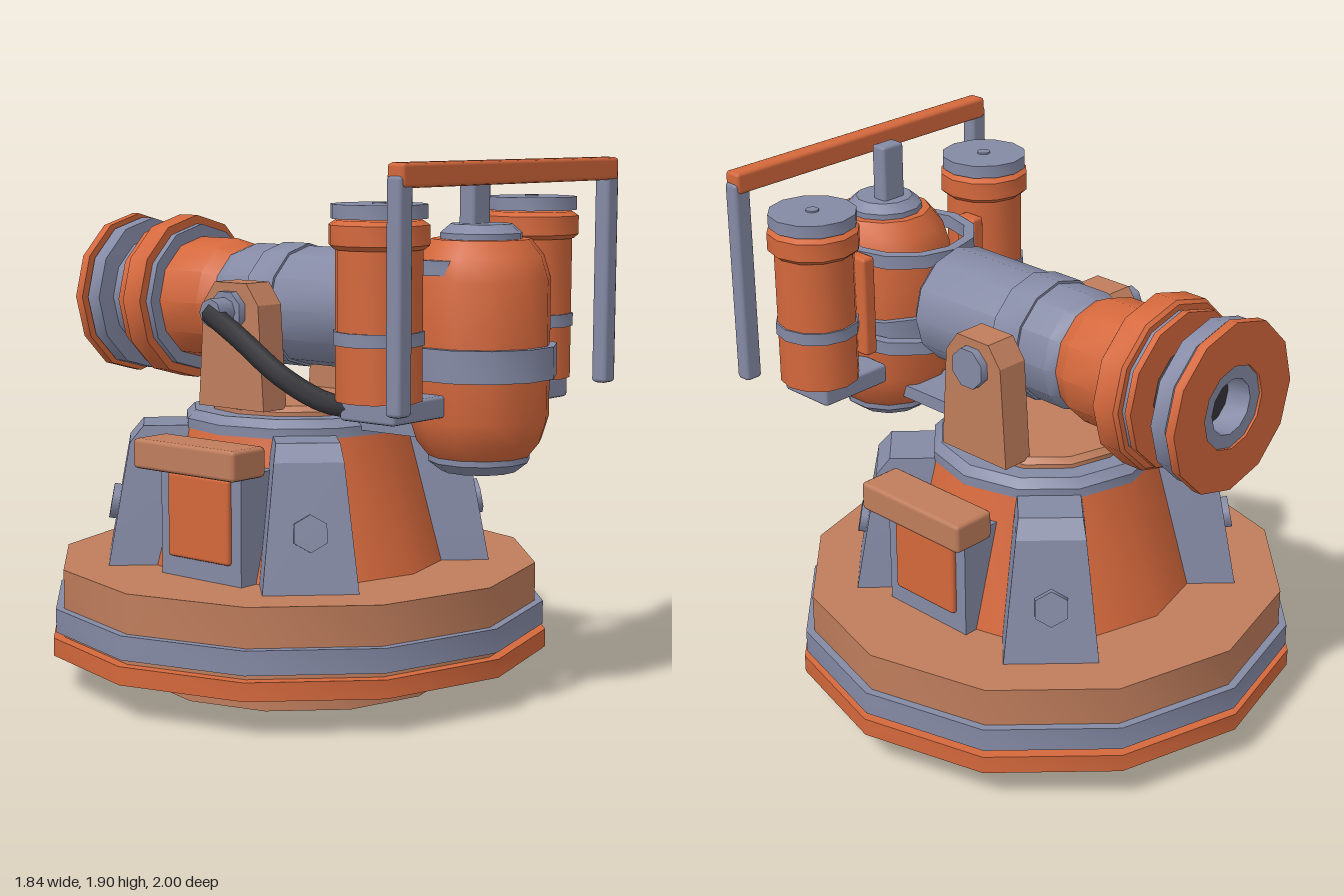
import * as THREE from 'three';
import { toCreasedNormals } from 'three/addons/utils/BufferGeometryUtils.js';
import { RoundedBoxGeometry } from 'three/addons/geometries/RoundedBoxGeometry.js';

const material = (name, color) => {
  const m = new THREE.MeshStandardMaterial({ color });
  m.name = name;
  return m;
};

export function createModel() {
  const orange = material('orange paint', 0xd4683c);
  const tan = material('faded orange paint', 0xbf7d5c);
  const grey = material('blue grey metal', 0x858aa5);
  const dark = material('dark rubber', 0x35353a);
  const model = new THREE.Group();
  model.name = 'mountedCannon';

  const group = (name, x, y, z) => {
    const g = new THREE.Group();
    g.name = name;
    g.position.set(x, y, z);
    model.add(g);
    return g;
  };
  const add = (parent, name, geo, mat) => {
    const m = new THREE.Mesh(geo, mat);
    m.name = name;
    parent.add(m);
    return m;
  };
  // turned part from [radius, height] points
  const turned = (parent, name, points, mat, sides = 12) => {
    const geo = new THREE.LatheGeometry(points.map(p => new THREE.Vector2(...p)), sides);
    return add(parent, name, toCreasedNormals(geo, 0.6), mat);
  };
  const drum = (parent, name, r, y0, y1, mat, bevel = 0) => turned(parent, name,
    bevel ? [[0, y0], [r, y0], [r, y1 - bevel], [r - bevel, y1], [0, y1]]
      : [[0, y0], [r, y0], [r, y1], [0, y1]], mat);
  // box from its min and max corners, chamfered when c > 0
  const box = (parent, name, x, y, z, mat, c = 0) => {
    const s = [x, y, z].map(r => r[1] - r[0]);
    const m = add(parent, name, c ? new RoundedBoxGeometry(...s, 1, c) : new THREE.BoxGeometry(...s), mat);
    m.position.set((x[0] + x[1]) / 2, (y[0] + y[1]) / 2, (z[0] + z[1]) / 2);
    return m;
  };
  const sideBox = (parent, name, s, x, y, z, mat, c) =>
    box(parent, name, s > 0 ? x : [-x[1], -x[0]], y, z, mat, c);

  // stepped base and turntable
  const base = group('base', 0, 0, -0.08);
  drum(base, 'foot', 0.575, 0, 0.14, tan);
  drum(base, 'lowerRim', 0.92, 0.13, 0.195, orange);
  drum(base, 'deck', 0.88, 0.19, 0.44, tan);
  drum(base, 'trimBand', 0.91, 0.215, 0.3, grey);
  turned(base, 'pedestal', [[0, 0.43], [0.55, 0.43], [0.41, 0.94], [0, 0.94]], orange);
  drum(base, 'collar', 0.415, 0.93, 0.995, grey, 0.03);
  drum(base, 'turntable', 0.315, 0.99, 1.03, tan, 0.02);

  // tapered diagonal buttresses with hexagonal bolts
  const legGeo = new THREE.BoxGeometry(1, 1, 1, 1, 2, 1);
  const rows = [[0.44, 0.69, 0.165], [0.88, 0.61, 0.12], [0.94, 0.56, 0.11]];
  const pos = legGeo.attributes.position;
  for (let i = 0; i < pos.count; i++) {
    const [y, reach, half] = rows[Math.round((pos.getY(i) + 0.5) * 2)];
    pos.setXYZ(i, Math.sign(pos.getX(i)) * half, y, pos.getZ(i) > 0 ? reach : 0.34);
  }
  const legFlat = toCreasedNormals(legGeo, 0.1);
  for (let i = 0; i < 4; i++) {
    const leg = group('buttress', 0, 0, -0.08);
    leg.rotation.y = Math.PI / 4 + i * Math.PI / 2;
    add(leg, 'buttressBody', legFlat, grey);
    const bolt = add(leg, 'buttressBolt', new THREE.CylinderGeometry(0.065, 0.065, 0.05, 6), grey);
    bolt.position.set(0, 0.645, 0.655);
    bolt.rotation.x = Math.PI / 2 - 0.18;
  }

  // barrel, turned along the line of fire
  const gun = group('barrel', 0, 1.365, 0);
  gun.rotation.x = -Math.PI / 2;
  turned(gun, 'breech', [[0, -0.415], [0.16, -0.415], [0.215, -0.36], [0.215, 0.27], [0.2, 0.315], [0, 0.315]], grey);
  drum(gun, 'saddleBand', 0.224, 0.02, 0.14, grey);
  turned(gun, 'frontSleeve', [[0, 0.31], [0.2, 0.31], [0.228, 0.37], [0.228, 0.57], [0, 0.57]], orange);
  drum(gun, 'sleeveRing', 0.275, 0.555, 0.71, grey);
  drum(gun, 'sleeveFlange', 0.308, 0.58, 0.68, orange, 0.012);
  drum(gun, 'sleeveLip', 0.28, 0.695, 0.72, orange);
  drum(gun, 'bellows', 0.165, 0.71, 0.79, dark);
  turned(gun, 'muzzleHead', [[0, 0.78], [0.22, 0.78], [0.22, 0.81], [0.29, 0.815], [0.29, 0.875], [0.25, 0.88],
    [0.25, 0.895], [0.15, 0.895], [0.15, 0.915], [0.1, 0.915], [0.1, 0.82]], grey);
  turned(gun, 'muzzleDisc', [[0.15, 0.89], [0.305, 0.89], [0.305, 0.925], [0.15, 0.925], [0.15, 0.89]], orange);
  turned(gun, 'bore', [[0.1, 0.822], [0, 0.822]], dark);

  // central tank
  const tank = group('tank', 0, 0, 0.745);
  const body = new THREE.Group();
  body.name = 'tankBody';
  body.rotation.y = Math.PI / 12;
  tank.add(body);
  turned(body, 'tankShell', [[0, 0.9], [0.175, 0.9], [0.215, 0.95], [0.24, 1.03], [0.24, 1.5],
    [0.215, 1.58], [0.17, 1.635], [0, 1.635]], orange);
  turned(body, 'tankFoot', [[0, 0.845], [0.13, 0.845], [0.175, 0.88], [0.175, 0.905], [0, 0.905]], grey);
  turned(body, 'tankCap', [[0, 1.62], [0.14, 1.62], [0.14, 1.655], [0.105, 1.685], [0, 1.685]], grey);
  drum(body, 'tankBand', 0.264, 1.17, 1.28, grey);
  box(tank, 'tankStem', [-0.05, 0.05], [1.66, 1.89], [-0.06, 0.005], grey, 0.012);

  // hoops and strut joining the tank to the gun
  for (const y of [1.18, 1.52]) {
    const hoop = turned(model, 'hoop', [[0.22, 0], [0.26, 0], [0.26, 0.05], [0.22, 0.05], [0.22, 0]], grey);
    hoop.position.set(0, y, 0.63);
  }
  box(model, 'tankStrut', [-0.1, 0.1], [0.95, 1.0], [0.25, 0.6], grey);

  // cradle plate outline, drawn across the barrel axis
  const plate = new THREE.Shape([[-0.155, 1.02], [0.155, 1.02], [0.13, 1.39], [0.075, 1.465],
    [-0.075, 1.465], [-0.13, 1.39]].map(p => new THREE.Vector2(...p)));
  const plateGeo = new THREE.ExtrudeGeometry(plate, { depth: 0.12, bevelEnabled: false });

  for (const s of [1, -1]) {
    // cradle and trunnion
    const cradle = add(model, 'cradlePlate', plateGeo, tan);
    cradle.rotation.y = Math.PI / 2;
    cradle.position.set(s > 0 ? 0.24 : -0.36, 0, -0.075);
    const pin = add(model, 'trunnion', new THREE.CylinderGeometry(0.075, 0.075, 0.2, 8), grey);
    pin.rotation.set(0, Math.PI / 8, Math.PI / 2, 'ZYX');
    pin.position.set(s * 0.29, 1.365, -0.075);

    // side hatch below its ledge
    sideBox(model, 'hatchFrame', s, [0.36, 0.56], [0.43, 0.83], [-0.225, 0.155], grey);
    sideBox(model, 'hatchDoor', s, [0.54, 0.578], [0.51, 0.81], [-0.18, 0.11], orange, 0.012);
    sideBox(model, 'ledge', s, [0.48, 0.648], [0.82, 0.927], [-0.28, 0.2], tan, 0.015);

    // canister on its tray
    const can = group('canister', s * 0.43, 0, 0.65);
    drum(can, 'canisterBody', 0.145, 1.12, 1.66, orange);
    turned(can, 'canisterCollar', [[0, 1.615], [0.15, 1.615], [0.167, 1.63], [0.167, 1.695], [0.145, 1.71], [0, 1.71]], orange);
    drum(can, 'canisterBand', 0.152, 1.305, 1.35, grey);
    drum(can, 'canisterLid', 0.16, 1.715, 1.762, grey);
    drum(can, 'lidKnob', 0.024, 1.76, 1.768, grey);
    sideBox(model, 'canisterTray', s, [0.2, 0.5], [1.05, 1.125], [0.54, 0.77], grey, 0.012);
    sideBox(model, 'tankClamp', s, [0.25, 0.305], [1.19, 1.57], [0.53, 0.62], orange, 0.012);

    // guard post
    sideBox(model, 'guardPost', s, [0.555, 0.625], [1.1, 1.86], [0.83, 0.89], grey, 0.014);
  }
  box(model, 'guardBar', [-0.615, 0.615], [1.82, 1.9], [0.825, 0.895], orange, 0.014);

  // hose from the trunnion to the underside of the canister
  const fitting = add(model, 'hoseFitting', new THREE.CylinderGeometry(0.05, 0.05, 0.09, 8), grey);
  fitting.rotation.z = Math.PI / 2;
  fitting.position.set(-0.42, 1.365, -0.075);
  const path = new THREE.CatmullRomCurve3([[-0.45, 1.365, -0.09], [-0.465, 1.29, 0.06], [-0.475, 1.17, 0.27],
    [-0.49, 1.1, 0.5], [-0.42, 1.09, 0.6], [-0.2, 1.09, 0.66]].map(p => new THREE.Vector3(...p)));
  add(model, 'hose', new THREE.TubeGeometry(path, 20, 0.037, 6), dark);

  return model;
}
